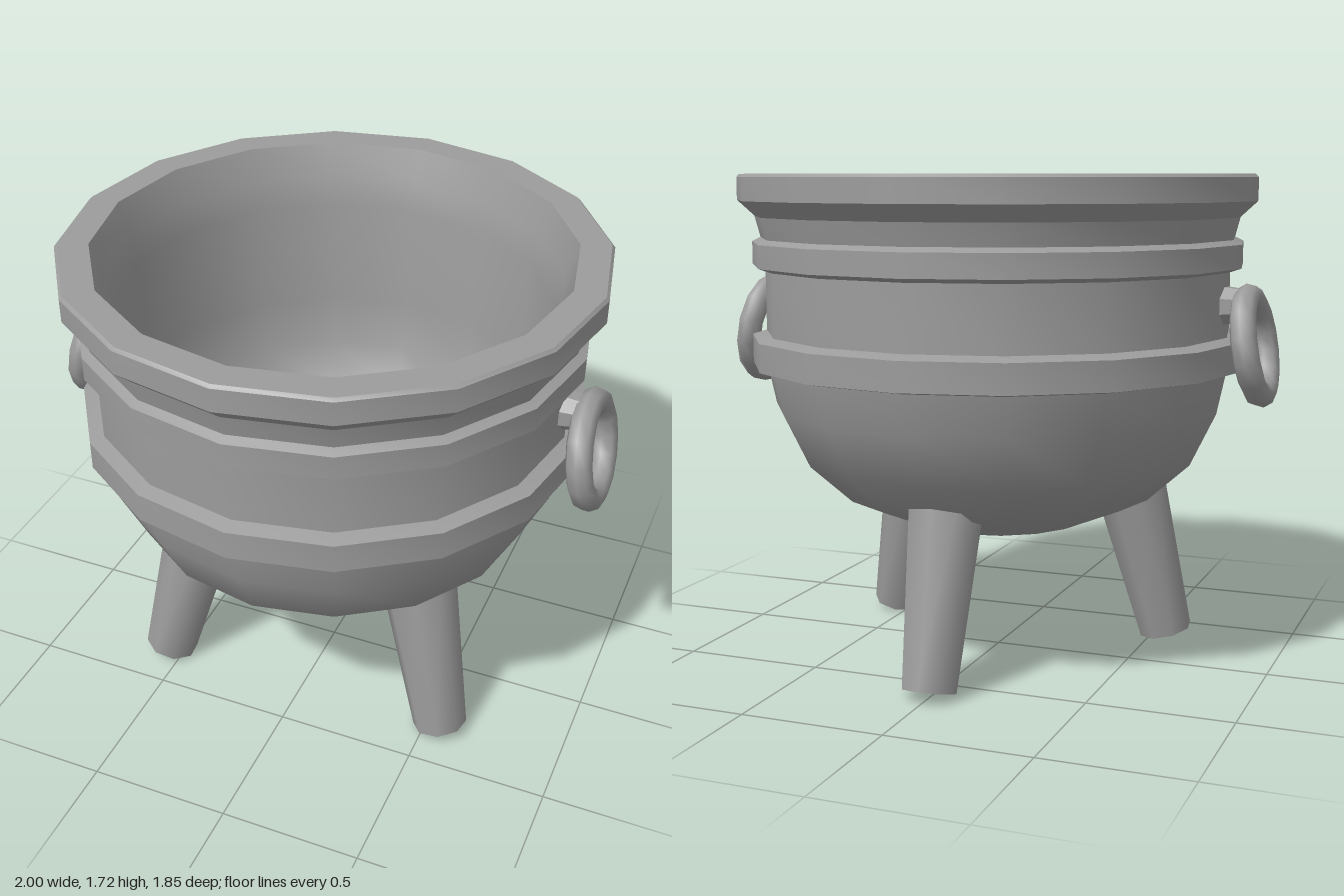
import * as THREE from 'three';
import { toCreasedNormals } from 'three/addons/utils/BufferGeometryUtils.js';

export function createModel() {
  const root = new THREE.Group();
  root.name = 'cauldron';
  const iron = new THREE.MeshStandardMaterial({ color: 0x9c9c9c });
  iron.name = 'grey iron';

  const addMesh = (name, geometry, parent = root) => {
    const mesh = new THREE.Mesh(geometry, iron);
    mesh.name = name;
    parent.add(mesh);
    return mesh;
  };

  // Pot: rounded belly, two raised bands, flared rim and hollow inside
  const profile = [
    [0, 0.465], [0.32, 0.485], [0.56, 0.585], [0.71, 0.72], [0.8, 0.905], [0.83, 1.045],
    [0.88, 1.055], [0.88, 1.155], [0.83, 1.17],
    [0.83, 1.39], [0.875, 1.405], [0.875, 1.485], [0.845, 1.5],
    [0.865, 1.575], [0.925, 1.63], [0.925, 1.71], [0.915, 1.72],
    [0.81, 1.72], [0.77, 1.6], [0.745, 1.5], [0.74, 1.1],
    [0.71, 0.92], [0.64, 0.74], [0.52, 0.61], [0.28, 0.53], [0, 0.505],
  ].map(([r, y]) => new THREE.Vector2(r, y));
  addMesh('pot', toCreasedNormals(new THREE.LatheGeometry(profile, 16), 0.55));

  // Three tapered legs, splayed outwards, their tops reaching through the floor
  const foot = new THREE.Vector3(0, 0.025, -0.638);
  const hip = new THREE.Vector3(0, 0.735, -0.456);
  const axis = hip.clone().sub(foot);
  const legGeometry = toCreasedNormals(new THREE.CylinderGeometry(0.142, 0.098, axis.length(), 8), 0.9);
  for (let i = 0; i < 3; i++) {
    const pivot = new THREE.Group();
    pivot.name = 'legPivot' + (i + 1);
    pivot.rotation.y = (i * Math.PI * 2) / 3;
    const leg = addMesh('leg', legGeometry, pivot);
    leg.position.copy(foot).add(hip).multiplyScalar(0.5);
    leg.quaternion.setFromUnitVectors(new THREE.Vector3(0, 1, 0), axis.clone().normalize());
    root.add(pivot);
  }

  // Side handles: a tapered lug with a hanging ring
  const lugGeometry = toCreasedNormals(new THREE.CylinderGeometry(0.055, 0.075, 0.14, 8), 0.5);
  lugGeometry.rotateY(Math.PI / 8);
  lugGeometry.rotateZ(-Math.PI / 2);
  const ringGeometry = new THREE.TorusGeometry(0.167, 0.045, 8, 14);
  ringGeometry.rotateZ(Math.PI / 2);
  ringGeometry.rotateY(Math.PI / 2);
  for (const [side, angle] of [['left', 0], ['right', Math.PI]]) {
    const handle = new THREE.Group();
    handle.name = side + 'Handle';
    handle.rotation.y = angle;
    addMesh('lug', lugGeometry, handle).position.set(0.85, 1.28, 0);
    const ring = addMesh('ring', ringGeometry, handle);
    ring.position.set(0.928, 1.147, 0);
    ring.rotation.z = 0.165;
    root.add(handle);
  }

  return root;
}
